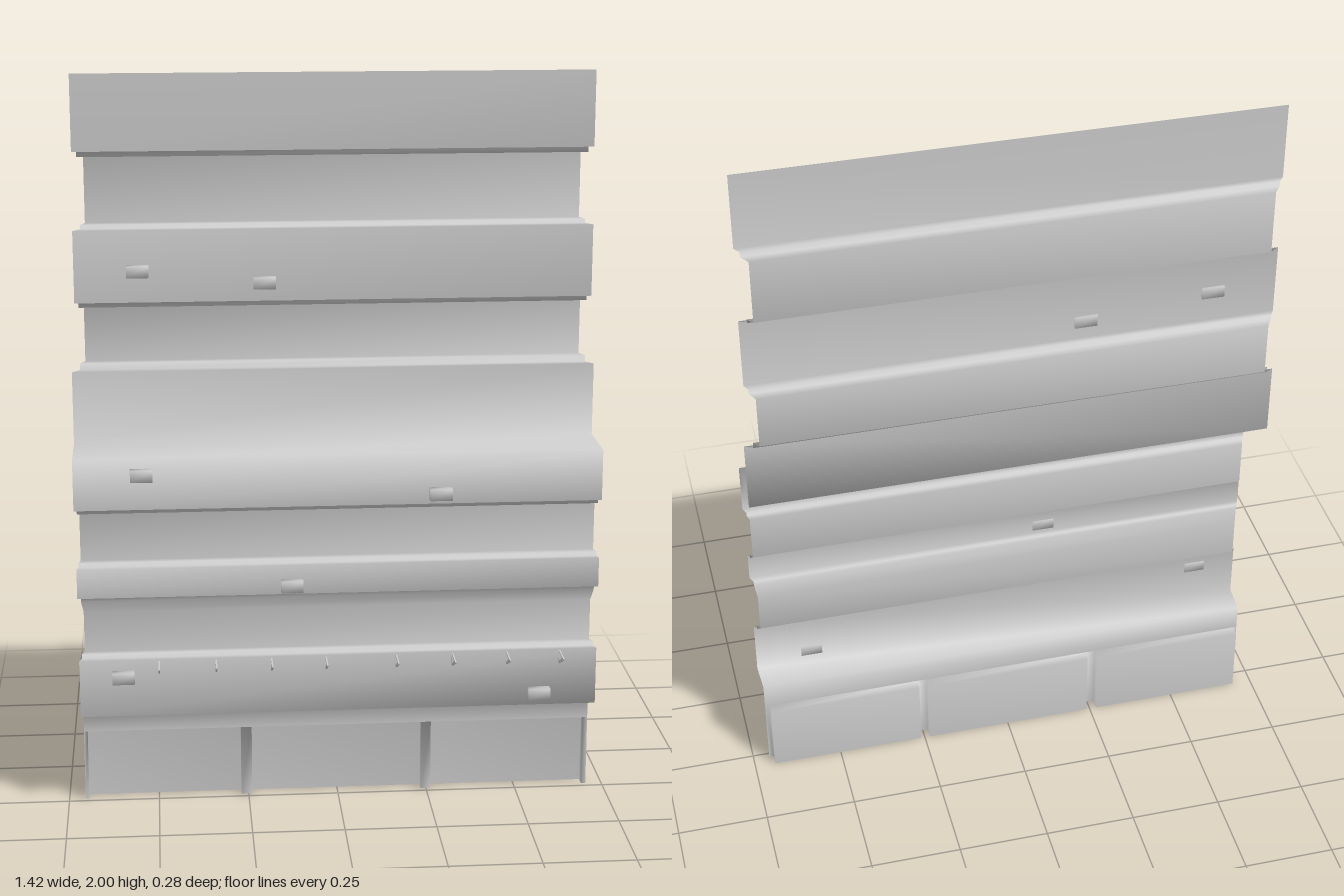
import * as THREE from 'three';
import { mergeVertices } from 'three/addons/utils/BufferGeometryUtils.js';

const sheetMaterial = new THREE.MeshStandardMaterial({ color: 0xcccccc, side: THREE.DoubleSide });
const solidMaterial = new THREE.MeshStandardMaterial({ color: 0xcccccc });

function smoothGeometry(positions, index) {
  const geometry = new THREE.BufferGeometry();
  geometry.setAttribute('position', new THREE.Float32BufferAttribute(positions, 3));
  geometry.setIndex(index);
  geometry.computeVertexNormals();
  return geometry;
}

function add(parent, name, geometry, material, x = 0, y = 0, z = 0) {
  const mesh = new THREE.Mesh(geometry, material);
  mesh.name = name;
  mesh.position.set(x, y, z);
  parent.add(mesh);
}

// Stepped wall profile from the top down: [half width, y, z]
const PROFILE = [
  [0.697, 2, -0.106], [0.697, 1.795, -0.106],
  [0.684, 1.793, -0.122], [0.684, 1.779, -0.122],
  [0.667, 1.776, -0.144], [0.667, 1.6, -0.144],
  [0.68, 1.598, -0.122], [0.68, 1.587, -0.122],
  [0.70, 1.585, -0.106], [0.70, 1.389, -0.106],
  [0.69, 1.387, -0.122], [0.69, 1.374, -0.122],
  [0.676, 1.37, -0.144], [0.676, 1.222, -0.144],
  [0.69, 1.22, -0.122], [0.69, 1.203, -0.122],
  [0.712, 1.2, -0.106], [0.712, 1, -0.106],
  [0.712, 1, 0.067], [0.712, 0.86, 0.067],
  [0.704, 0.857, 0.052], [0.704, 0.847, 0.052],
  [0.698, 0.845, 0.035], [0.698, 0.712, 0.035],
  [0.704, 0.709, 0.052], [0.704, 0.698, 0.052],
  [0.709, 0.696, 0.067], [0.709, 0.614, 0.067],
  [0.7, 0.612, 0.052], [0.7, 0.6, 0.05],
  [0.694, 0.566, 0.035], [0.694, 0.452, 0.035],
  [0.702, 0.45, 0.052], [0.702, 0.438, 0.052],
  [0.709, 0.436, 0.067], [0.709, 0.275, 0.067],
  [0.705, 0.275, -0.015], [0.705, 0.2, -0.015],
];

function wallGeometry() {
  const positions = [], index = [];
  PROFILE.forEach(([w, y, z], i) => {
    positions.push(-w, y, z, w, y, z);
    if (i === 0) return;
    const a = 2 * i - 2, b = a + 1, c = a + 2, d = a + 3;
    index.push(a, c, b, b, c, d);
  });
  return smoothGeometry(positions, index);
}

// Base: three shallow bays between narrow posts, open underneath
function baseGeometry() {
  const front = -0.015, back = -0.045;
  const bays = [[-0.695, -0.27], [-0.24, 0.235], [0.262, 0.692]];
  const plan = [[-0.705, front]];
  for (const [l, r] of bays) plan.push([l, front], [l, back], [r, back], [r, front]);
  plan.push([0.705, front]);

  const positions = [], index = [];
  plan.forEach(([x, z], i) => {
    positions.push(x, 0.2, z, x, 0, z);
    if (i === 0) return;
    const a = 2 * i - 2, c = a + 1, b = a + 2, d = a + 3;
    index.push(a, c, b, b, c, d);
  });
  // Bay ceilings, facing down
  bays.forEach((_, k) => {
    const fl = 2 * (1 + 4 * k), bl = fl + 2, br = fl + 4, fr = fl + 6;
    index.push(fl, bl, br, fl, br, fr);
  });
  return smoothGeometry(positions, index);
}

// Small block with smoothly shaded corners
function holdGeometry() {
  const box = new THREE.BoxGeometry(0.06, 0.032, 0.027);
  box.deleteAttribute('normal');
  box.deleteAttribute('uv');
  const geometry = mergeVertices(box);
  geometry.computeVertexNormals();
  return geometry;
}

// Thin triangular bracket with an open middle, pointing forward
function bracketGeometry() {
  const shape = new THREE.Shape([[0, 0], [0, -0.037], [0.07, -0.004], [0.07, 0]]
    .map(([x, y]) => new THREE.Vector2(x, y)));
  shape.holes.push(new THREE.Path([[0.005, -0.004], [0.05, -0.004], [0.005, -0.028]]
    .map(([x, y]) => new THREE.Vector2(x, y))));
  const geometry = new THREE.ExtrudeGeometry(shape, { depth: 0.004, bevelEnabled: false });
  geometry.translate(0, 0, -0.002);
  return geometry.rotateY(-Math.PI / 2);
}

export function createModel() {
  const model = new THREE.Group();
  model.name = 'steppedWall';
  add(model, 'wallSheet', wallGeometry(), sheetMaterial);
  add(model, 'baseBays', baseGeometry(), sheetMaterial);

  // Blocks scattered over the raised bands
  const holds = new THREE.Group();
  holds.name = 'blocks';
  const hold = holdGeometry();
  const places = [[-0.53, 1.475, -0.098], [-0.19, 1.44, -0.098], [-0.53, 0.958, 0.079],
    [0.272, 0.89, 0.079], [-0.13, 0.64, 0.079], [-0.59, 0.39, 0.079], [0.55, 0.312, 0.079]];
  for (const [x, y, z] of places) add(holds, 'block', hold, solidMaterial, x, y, z);
  model.add(holds);

  // Row of brackets on the lowest band
  const brackets = new THREE.Group();
  brackets.name = 'brackets';
  const bracket = bracketGeometry();
  for (const x of [-0.493, -0.338, -0.187, -0.038, 0.155, 0.31, 0.46, 0.607])
    add(brackets, 'bracket', bracket, solidMaterial, x, 0.432, 0.067);
  model.add(brackets);
  return model;
}
